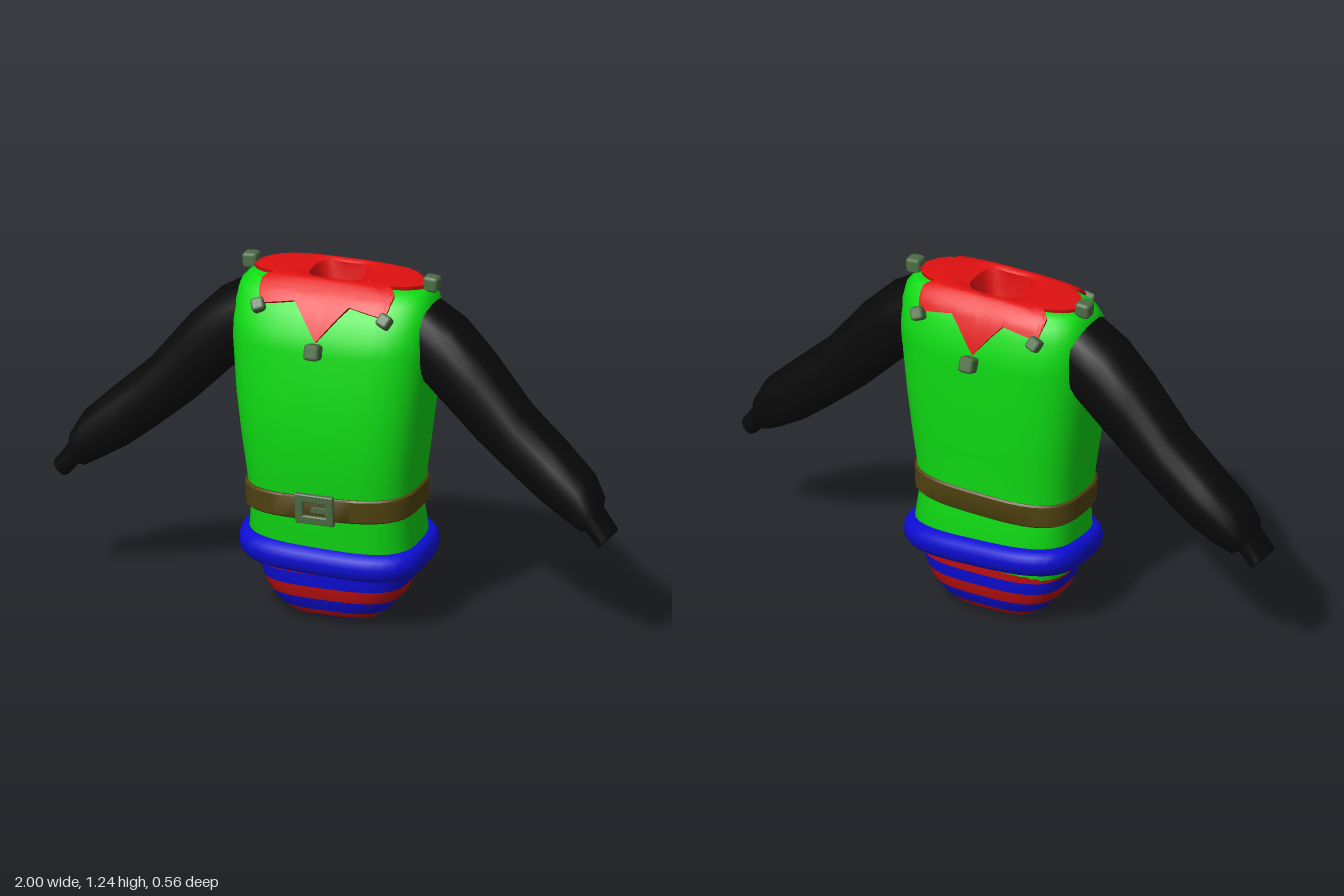
import * as THREE from 'three';
import { toCreasedNormals } from 'three/addons/utils/BufferGeometryUtils.js';
import { RoundedBoxGeometry } from 'three/addons/geometries/RoundedBoxGeometry.js';

const mat = (name, color) => {
  const m = new THREE.MeshStandardMaterial({ color });
  m.name = name;
  return m;
};

// Skin a stack of closed rings (arrays of [x, y, z]); one group per band
function loft(rings) {
  const n = rings[0].length, index = [];
  const geo = new THREE.BufferGeometry();
  for (let i = 0; i < rings.length - 1; i++) {
    for (let j = 0; j < n; j++) {
      const k = (j + 1) % n, a = i * n + j, b = i * n + k;
      index.push(a, b, b + n, a, b + n, a + n);
    }
    geo.addGroup(i * n * 6, n * 6, i);
  }
  geo.setAttribute('position', new THREE.Float32BufferAttribute(rings.flat(2), 3));
  geo.setIndex(index);
  geo.computeVertexNormals();
  return geo;
}

// Point on a rounded-rectangle section: row = [y, half width, front z, back z]
function onSection([y, w, f, b], a, n = 3.2) {
  const s = Math.sin(a), c = Math.cos(a);
  const k = (Math.abs(s) ** n + Math.abs(c) ** n) ** (-1 / n);
  return [w * s * k, y, (f + b) / 2 + ((f - b) / 2) * c * k];
}
const SEG = 48;
const ring = (row, tiltX = 0, tiltZ = 0) => Array.from({ length: SEG }, (_, j) => {
  const p = onSection(row, (j / SEG) * Math.PI * 2);
  p[1] += tiltX * p[0] + tiltZ * p[2];
  return p;
});

const TORSO = [
  [0.2, 0.27, 0.17, -0.18], [0.3, 0.295, 0.19, -0.2], [0.4, 0.285, 0.195, -0.185],
  [0.52, 0.295, 0.215, -0.188], [0.65, 0.312, 0.228, -0.2], [0.8, 0.33, 0.234, -0.208],
  [1.0, 0.348, 0.222, -0.213], [1.06, 0.349, 0.205, -0.208], [1.12, 0.347, 0.175, -0.19],
  [1.17, 0.335, 0.14, -0.17], [1.195, 0.31, 0.108, -0.145], [1.207, 0.26, 0.09, -0.13],
  [1.212, 0.16, 0.08, -0.12], [1.205, 0.1, 0.07, -0.11],
];

// Torso surface at angle a and fractional row t, pushed out along its normal
function onTorso(a, t, lift) {
  const at = (ang, lev) => {
    const i = Math.min(Math.floor(lev), TORSO.length - 2);
    const row = TORSO[i].map((v, k) => THREE.MathUtils.lerp(v, TORSO[i + 1][k], lev - i));
    return new THREE.Vector3(...onSection(row, ang));
  };
  const du = at(a + 0.02, t).sub(at(a - 0.02, t));
  const dv = at(a, Math.min(t + 0.3, 13)).sub(at(a, t - 0.3));
  return at(a, t).addScaledVector(du.cross(dv).normalize(), lift).toArray();
}

// Eight-pointed collar draped on the shoulders, with a sunken neck opening
function collarGeometry() {
  const quarter = [[0, 6.7], [0.28, 8.7], [0.61, 8.25], [0.8, 11.1], [Math.PI / 2, 10.05]];
  const half = [...quarter, ...quarter.slice(0, 4).reverse().map(([a, t]) => [Math.PI - a, t])];
  const keys = [...half, ...half.slice(0, -1).reverse().map(([a, t]) => [2 * Math.PI - a, t])];
  const cols = [], SUB = 5, STEPS = 14;
  for (let i = 0; i < keys.length - 1; i++) {
    for (let s = 0; s < SUB; s++) {
      cols.push([0, 1].map((k) => THREE.MathUtils.lerp(keys[i][k], keys[i + 1][k], s / SUB)));
    }
  }
  const rings = [cols.map(([a, t]) => onTorso(a, t, -0.006))];
  for (let s = 0; s <= STEPS; s++) {
    rings.push(cols.map(([a, t]) => onTorso(a, THREE.MathUtils.lerp(t, 13, s / STEPS), 0.014)));
  }
  const cup = [[1.2, 0.092, 0.062, -0.102], [1.12, 0.075, 0.045, -0.085], [1.11, 0, -0.02, -0.02]];
  cup.forEach((row) => rings.push(cols.map(([a]) => onSection(row, a))));
  return toCreasedNormals(loft(rings), 0.7);
}

// Sleeve sections: upper x, y, lower x, y, front z, back z
const SLEEVE = [
  [0.32, 1.165, 0.32, 0.89, 0.115, -0.135], [0.43, 1.1, 0.4, 0.81, 0.115, -0.132],
  [0.53, 1.0, 0.51, 0.7, 0.108, -0.12], [0.67, 0.825, 0.64, 0.59, 0.102, -0.112],
  [0.8, 0.705, 0.74, 0.51, 0.1, -0.108], [0.9, 0.61, 0.83, 0.455, 0.1, -0.092],
  [0.942, 0.535, 0.885, 0.425, 0.095, -0.065], [0.942, 0.505, 0.905, 0.432, 0.088, -0.04],
  [0.992, 0.435, 0.948, 0.384, 0.09, -0.038], [0.998, 0.43, 0.952, 0.38, 0.078, -0.028],
  [0.972, 0.405, 0.972, 0.405, 0.025, 0.025],
];
function sleeveGeometry(side) {
  return loft(SLEEVE.map(([ux, uy, lx, ly, f, b]) => Array.from({ length: 24 }, (_, j) => {
    const a = (j / 24) * Math.PI * 2, s = Math.sin(a) * side, c = Math.cos(a);
    const k = (Math.abs(s) ** 2.6 + Math.abs(c) ** 2.6) ** (-1 / 2.6);
    return [
      side * ((ux + lx) / 2 + ((ux - lx) / 2) * c * k),
      (uy + ly) / 2 + ((uy - ly) / 2) * c * k,
      (f + b) / 2 + ((f - b) / 2) * s * k,
    ];
  })));
}

export function createModel() {
  const green = mat('tunic green', 0x0fdc14), red = mat('collar red', 0xe01010);
  const darkRed = mat('stripe red', 0xc01010), blue = mat('blue', 0x0d0dd6);
  const black = mat('sleeve black', 0x090909), brown = mat('belt brown', 0x524410);
  const metal = mat('dull metal', 0x4c6c44);

  const model = new THREE.Group();
  model.name = 'costume';
  const add = (name, geo, material, parent = model) => {
    const mesh = new THREE.Mesh(geo, material);
    mesh.name = name;
    parent.add(mesh);
    return mesh;
  };

  const tunic = loft(TORSO.map((r) => ring(r)));
  tunic.clearGroups();
  add('tunic', tunic, green);

  // Striped trousers, one band per stripe
  const trousers = loft([
    [0, 0, -0.01, -0.01], [0.003, 0.06, 0.03, -0.05], [0.01, 0.115, 0.07, -0.09],
    [0.025, 0.155, 0.1, -0.12], [0.05, 0.187, 0.122, -0.142], [0.095, 0.227, 0.142, -0.164],
    [0.14, 0.248, 0.152, -0.175], [0.187, 0.262, 0.158, -0.182], [0.25, 0.27, 0.16, -0.185],
  ].map((r) => ring(r)));
  trousers.groups.forEach((g, i) => { g.materialIndex = i < 2 ? i : i === 2 ? 1 : (i + 1) % 2; });
  add('trousers', trousers, [darkRed, blue]);

  // Puffed hem: rounded tube around the hips
  const hem = loft([
    [0.235, 0.25, 0.15, -0.17], [0.218, 0.28, 0.178, -0.195], [0.22, 0.308, 0.203, -0.217],
    [0.24, 0.323, 0.217, -0.231], [0.268, 0.328, 0.221, -0.235], [0.295, 0.322, 0.216, -0.23],
    [0.311, 0.308, 0.202, -0.216], [0.313, 0.27, 0.17, -0.18],
  ].map((r) => ring(r, -0.035, -0.07)));
  hem.clearGroups();
  add('hem', hem, blue);

  // Belt strap with softened edges
  const belt = loft([
    [0.412, 0.27, 0.18, -0.16], [0.41, 0.292, 0.207, -0.188], [0.416, 0.299, 0.213, -0.193],
    [0.49, 0.301, 0.221, -0.196], [0.496, 0.295, 0.217, -0.19], [0.494, 0.27, 0.18, -0.16],
  ].map((r) => ring(r, 0.025, -0.03)));
  belt.clearGroups();
  add('belt', toCreasedNormals(belt, 0.7), brown);

  // Buckle frame and prong
  const buckle = new THREE.Group();
  buckle.name = 'buckle';
  buckle.position.set(-0.003, 0.448, 0.213);
  buckle.rotation.x = 0.08;
  model.add(buckle);
  const frame = new THREE.Shape([[-0.065, -0.05], [0.065, -0.05], [0.065, 0.05], [-0.065, 0.05]]
    .map((p) => new THREE.Vector2(...p)));
  frame.holes.push(new THREE.Path([[-0.043, -0.028], [-0.043, 0.028], [0.043, 0.028], [0.043, -0.028]]
    .map((p) => new THREE.Vector2(...p))));
  add('buckleFrame', new THREE.ExtrudeGeometry(frame, {
    depth: 0.014, bevelSize: 0.003, bevelThickness: 0.003, bevelSegments: 1,
  }), metal, buckle);
  add('buckleProng', new THREE.BoxGeometry(0.07, 0.016, 0.018), metal, buckle).position.set(0.025, 0, 0.01);

  add('collar', collarGeometry(), red);

  // Sleeves
  for (const side of [1, -1]) {
    const sleeve = sleeveGeometry(side);
    sleeve.clearGroups();
    add(side > 0 ? 'leftSleeve' : 'rightSleeve', sleeve, black);
  }

  // Bells on the collar points
  const bell = (x, y, z, size, rx, rz) => {
    const b = add('bell', new RoundedBoxGeometry(size, size, size, 1, size * 0.22), metal);
    b.position.set(x, y, z);
    b.rotation.set(rx, 0, rz);
  };
  bell(0, 1.02, 0.245, 0.055, -0.25, 0);
  bell(0, 1.02, -0.25, 0.055, 0.35, 0);
  for (const s of [1, -1]) {
    bell(s * 0.225, 1.13, 0.163, 0.046, -0.65, s * -0.4);
    bell(s * 0.222, 1.13, -0.195, 0.046, 0.5, s * -0.4);
    bell(s * 0.322, 1.213, -0.03, 0.054, 0, s * -0.08);
  }
  return model;
}
